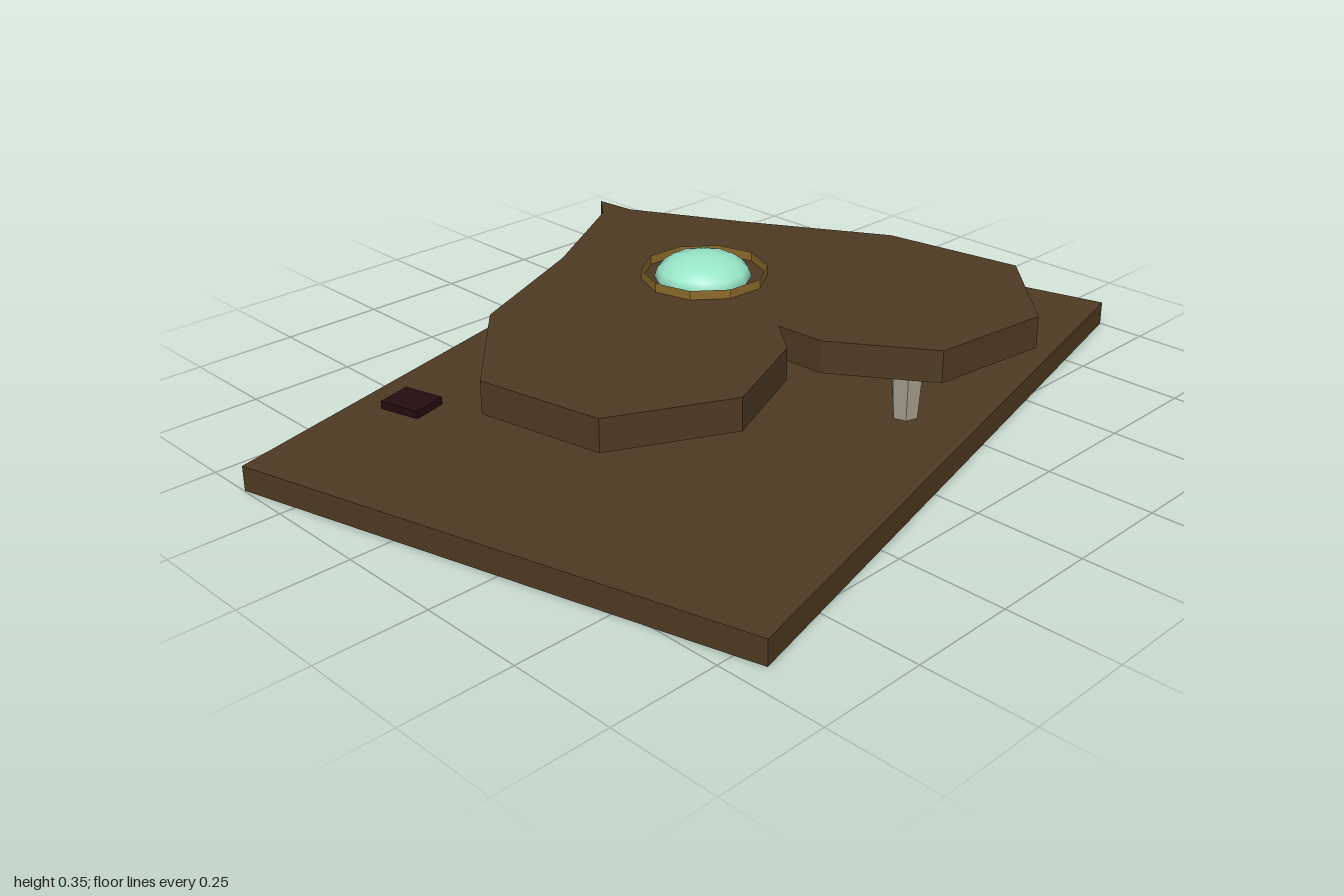
import * as THREE from 'three';

const mat = (name, color, extra = {}) => {
  const m = new THREE.MeshStandardMaterial({ color, ...extra });
  m.name = name;
  return m;
};

export function createModel() {
  const group = new THREE.Group();
  const wood = mat('brown', 0x4f3a22);
  const dark = mat('darkMaroon', 0x240d10);
  const stone = mat('paleStone', 0xa89f8c, { side: THREE.DoubleSide, flatShading: true });
  const gold = mat('gold', 0x8c6a2c, { side: THREE.DoubleSide, flatShading: true });
  const mint = mat('mint', 0x98e6c8);
  const turn = 0.25;

  const add = (name, geometry, material, x, y, z, ry = 0) => {
    const mesh = new THREE.Mesh(geometry, material);
    mesh.name = name;
    mesh.position.set(x, y, z);
    mesh.rotation.y = ry;
    group.add(mesh);
    return mesh;
  };

  // Rectangular ground slab, turned a little
  add('base', new THREE.BoxGeometry(1.744, 0.058, 1.24), wood, 0, 0.029, 0, turn);

  // Heart-shaped table top, outline as x, z pairs
  const outline = [
    [-0.088, 0.275], [-0.083, 0.39], [0.056, 0.6], [0.34, 0.633], [0.548, 0.424],
    [0.5, 0.096], [0.323, -0.214], [0.184, -0.482], [0.174, -0.582], [0.12, -0.513],
    [-0.152, -0.348], [-0.479, -0.203], [-0.698, 0.043], [-0.644, 0.332],
    [-0.388, 0.46], [-0.158, 0.364],
  ];
  const heart = new THREE.Shape(outline.map(([x, z]) => new THREE.Vector2(x, -z)));
  const top = new THREE.ExtrudeGeometry(heart, { depth: 0.073, bevelEnabled: false });
  top.rotateX(-Math.PI / 2);
  add('heartTop', top, wood, 0, 0.222, 0);

  // Three hollow tapered legs
  const leg = new THREE.CylinderGeometry(0.041, 0.03, 0.164, 6, 1, true);
  for (const [x, z] of [[-0.325, -0.255], [0.335, -0.255], [0.15, 0.435]]) {
    add('leg', leg, stone, x, 0.14, z, turn);
  }

  // Row of five dark tiles along the back
  const tile = new THREE.BoxGeometry(0.086, 0.018, 0.102);
  for (let i = 0; i < 5; i++) {
    add('tile', tile, dark, -0.585 + i * 0.291, 0.067, -0.365 + i * 0.0285, turn);
  }

  // Thin collar and flattened dome in the middle of the top
  add('collar', new THREE.CylinderGeometry(0.143, 0.143, 0.021, 10, 1, true), gold, 0, 0.3055, -0.035, turn);
  const dome = new THREE.SphereGeometry(0.11, 12, 4, 0, Math.PI * 2, 0, Math.PI / 2);
  dome.scale(1, 0.5, 1);
  add('dome', dome, mint, 0, 0.295, -0.04, turn);

  return group;
}
